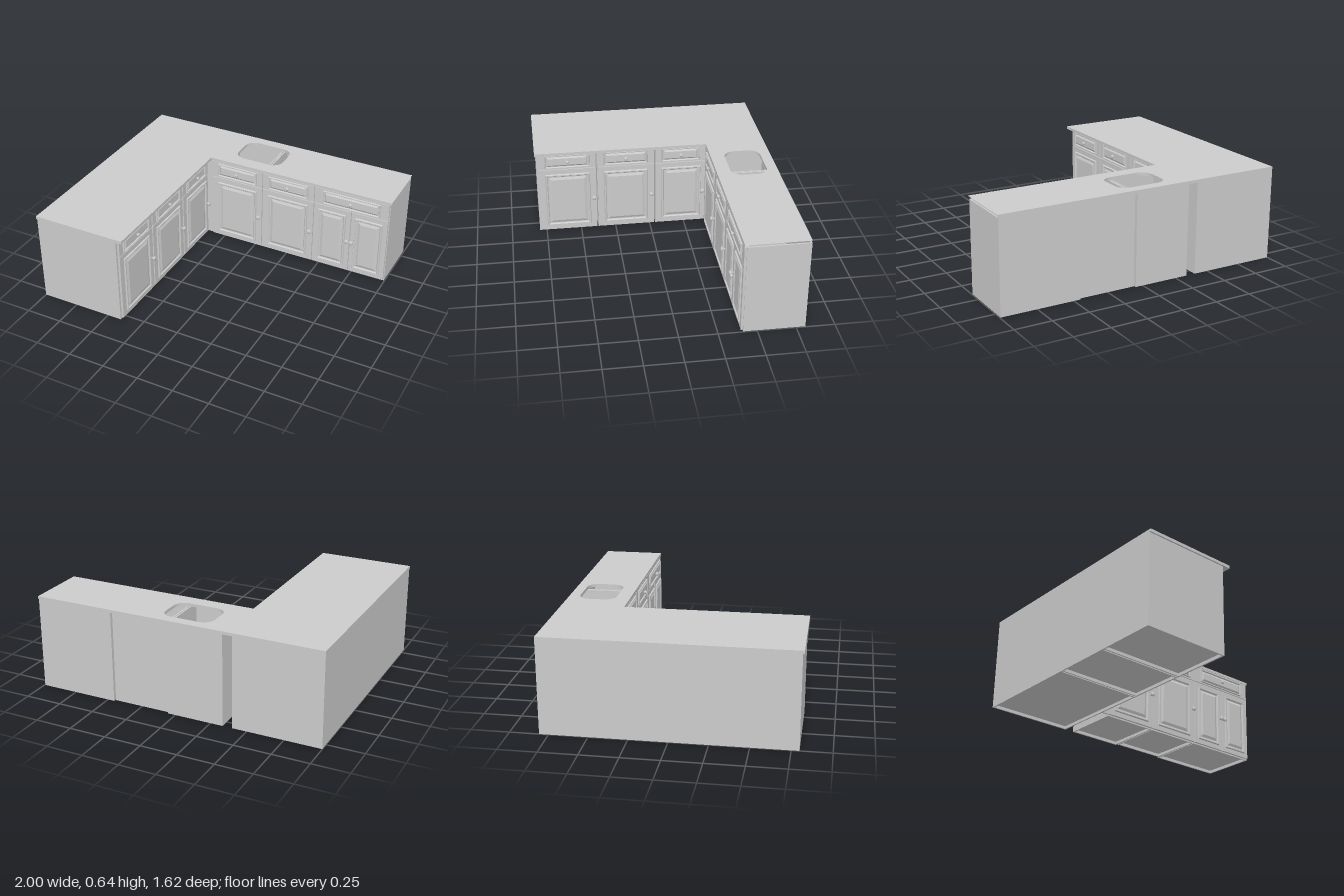
import * as THREE from 'three';

const material = new THREE.MeshStandardMaterial({ color: 0xcccccc, flatShading: true });
const smooth = new THREE.MeshStandardMaterial({ color: 0xcccccc });
const TOP = 0.62, SPLIT = 0.493, SLAB = 0.015;

function add(parent, name, geometry, x = 0, y = 0, z = 0, mat = material) {
  const mesh = new THREE.Mesh(geometry, mat);
  mesh.name = name;
  mesh.position.set(x, y, z);
  parent.add(mesh);
  return mesh;
}

// Box given by its minimum and maximum corners
function block(parent, name, [x0, y0, z0], [x1, y1, z1]) {
  return add(parent, name, new THREE.BoxGeometry(x1 - x0, y1 - y0, z1 - z0),
    (x0 + x1) / 2, (y0 + y1) / 2, (z0 + z1) / 2);
}

// Raised-and-fielded panel: nested rectangles lofted along [inset, height] steps
function mouldedPanel(w, h, scale) {
  const steps = [[0, 0], [0.004, 0.01], [0.012, 0.01], [0.018, 0.002], [0.024, 0.001], [0.042, 0.009]];
  const rings = steps.map(([i, d]) => {
    const a = w / 2 - i * scale, b = h / 2 - i * scale;
    return [[-a, -b, d], [a, -b, d], [a, b, d], [-a, b, d]];
  });
  const pos = [];
  const quad = (a, b, c, d) => pos.push(...a, ...b, ...c, ...a, ...c, ...d);
  for (let r = 0; r < rings.length - 1; r++) {
    for (let k = 0; k < 4; k++) {
      const n = (k + 1) % 4;
      quad(rings[r][k], rings[r][n], rings[r + 1][n], rings[r + 1][k]);
    }
  }
  quad(...rings[rings.length - 1]);
  const geometry = new THREE.BufferGeometry();
  geometry.setAttribute('position', new THREE.Float32BufferAttribute(pos, 3));
  geometry.computeVertexNormals();
  return geometry;
}

// Round knob on a narrow stem, pointing along +z
function knob(parent, x, y, r) {
  const profile = [[0.4, 0], [0.4, 0.012], [0.8, 0.015], [1, 0.02], [0.9, 0.025], [0.55, 0.029], [0, 0.03]]
    .map(([a, d]) => new THREE.Vector2(a * r, d));
  const geometry = new THREE.LatheGeometry(profile, 16).rotateX(Math.PI / 2);
  add(parent, 'knob', geometry, x, y, SLAB, smooth);
}

// Door or drawer front: slab, moulded panel and knob
function front(parent, name, u0, u1, y0, y1, margin, scale, knobU, knobY, knobR) {
  const group = new THREE.Group();
  group.name = name;
  parent.add(group);
  block(group, name + 'Slab', [u0, y0, 0], [u1, y1, SLAB]);
  const [m0, m1, n0, n1] = margin;
  add(group, name + 'Panel', mouldedPanel(u1 - u0 - m0 - m1, y1 - y0 - n0 - n1, scale),
    (u0 + m0 + u1 - m1) / 2, (y0 + n0 + y1 - n1) / 2, SLAB);
  knob(group, knobU, knobY, knobR);
}

function drawer(parent, u0, u1, side = 0.043) {
  front(parent, 'drawer', u0, u1, SPLIT + 0.002, TOP - 0.002, [side, side, 0.01, 0.01], 0.62,
    (u0 + u1) / 2, 0.556, 0.0135);
}

function door(parent, u0, u1, knobU, m0 = 0.043, m1 = 0.043) {
  front(parent, 'door', u0, u1, 0.01, SPLIT - 0.002, [m0, m1, 0.033, 0.035], 1, knobU, 0.257, 0.017);
}

// Open-topped carcass with a raised floor
function carcass(parent, x0, x1, z0, z1) {
  const t = 0.01, group = new THREE.Group();
  group.name = 'carcass';
  parent.add(group);
  block(group, 'sidePanel', [x0, 0, z0], [x0 + t, TOP, z1]);
  block(group, 'sidePanel', [x1 - t, 0, z0], [x1, TOP, z1]);
  block(group, 'endPanel', [x0 + t, 0, z0], [x1 - t, TOP, z0 + t]);
  block(group, 'endPanel', [x0 + t, 0, z1 - t], [x1 - t, TOP, z1]);
  block(group, 'floor', [x0 + t, 0.02, z0 + t], [x1 - t, 0.03, z1 - t]);
}

// L-shaped worktop with a rounded sink cut-out; its +x end is left open
function worktop() {
  const shape = new THREE.Shape([[-1, 0.81], [-1, -0.81], [-0.35, -0.81], [-0.35, 0.395], [1, 0.395], [1, 0.81]]
    .map(([x, y]) => new THREE.Vector2(x, y)));
  const x0 = -0.215, x1 = 0.13, y0 = 0.49, y1 = 0.74, r = 0.075;
  const hole = new THREE.Path();
  hole.absarc(x1 - r, y0 + r, r, -Math.PI / 2, 0);
  hole.absarc(x1 - r, y1 - r, r, 0, Math.PI / 2);
  hole.absarc(x0 + r, y1 - r, r, Math.PI / 2, Math.PI);
  hole.absarc(x0 + r, y0 + r, r, Math.PI, Math.PI * 1.5);
  hole.closePath();
  shape.holes.push(hole);
  const solid = new THREE.ExtrudeGeometry(shape, { depth: 0.02, bevelEnabled: false, curveSegments: 8 });
  solid.rotateX(-Math.PI / 2);
  const p = solid.attributes.position.array, kept = [];
  for (let i = 0; i < p.length; i += 9) {
    const atEnd = [0, 3, 6].every(k => p[i + k] > 0.999);
    if (!atEnd) kept.push(...p.slice(i, i + 9));
  }
  const geometry = new THREE.BufferGeometry();
  geometry.setAttribute('position', new THREE.Float32BufferAttribute(kept, 3));
  geometry.computeVertexNormals();
  return geometry;
}

export function createModel() {
  const model = new THREE.Group();
  model.name = 'cornerKitchenCabinets';

  add(model, 'worktop', worktop(), 0, TOP, 0);

  // Back run carcasses
  carcass(model, -0.335, 0.053, -0.81, -0.41);
  carcass(model, 0.058, 0.448, -0.795, -0.41);
  carcass(model, 0.453, 0.995, -0.81, -0.41);
  // Side run carcasses, the first filling the corner
  carcass(model, -1, -0.4, -0.81, -0.04);
  carcass(model, -1, -0.4, -0.03, 0.375);
  carcass(model, -1, -0.4, 0.385, 0.8);
  block(model, 'backPanel', [-1, 0, -0.81], [-0.99, TOP, 0.8]);
  block(model, 'cornerFiller', [-0.4, 0.01, -0.415], [-0.335, TOP, -0.402]);

  // Back run fronts
  const backRun = new THREE.Group();
  backRun.name = 'backRunFronts';
  backRun.position.z = -0.41;
  model.add(backRun);
  for (const [u0, u1] of [[-0.338, 0.053], [0.058, 0.448]]) {
    drawer(backRun, u0, u1);
    door(backRun, u0, u1, u1 - 0.02);
  }
  drawer(backRun, 0.453, 0.99, 0.06);
  door(backRun, 0.453, 0.725, 0.71, 0.033, 0.033);
  door(backRun, 0.73, 0.99, 0.744, 0.028, 0.033);

  // Side run fronts, turned to face +x
  const sideRun = new THREE.Group();
  sideRun.name = 'sideRunFronts';
  sideRun.rotation.y = Math.PI / 2;
  sideRun.position.x = -0.4;
  model.add(sideRun);
  for (const [u0, u1] of [[-0.785, -0.383], [-0.372, 0.03], [0.041, 0.4]]) {
    drawer(sideRun, u0, u1);
    door(sideRun, u0, u1, u1 - 0.02, 0.043, u1 > 0.3 ? 0.03 : 0.043);
  }
  return model;
}
